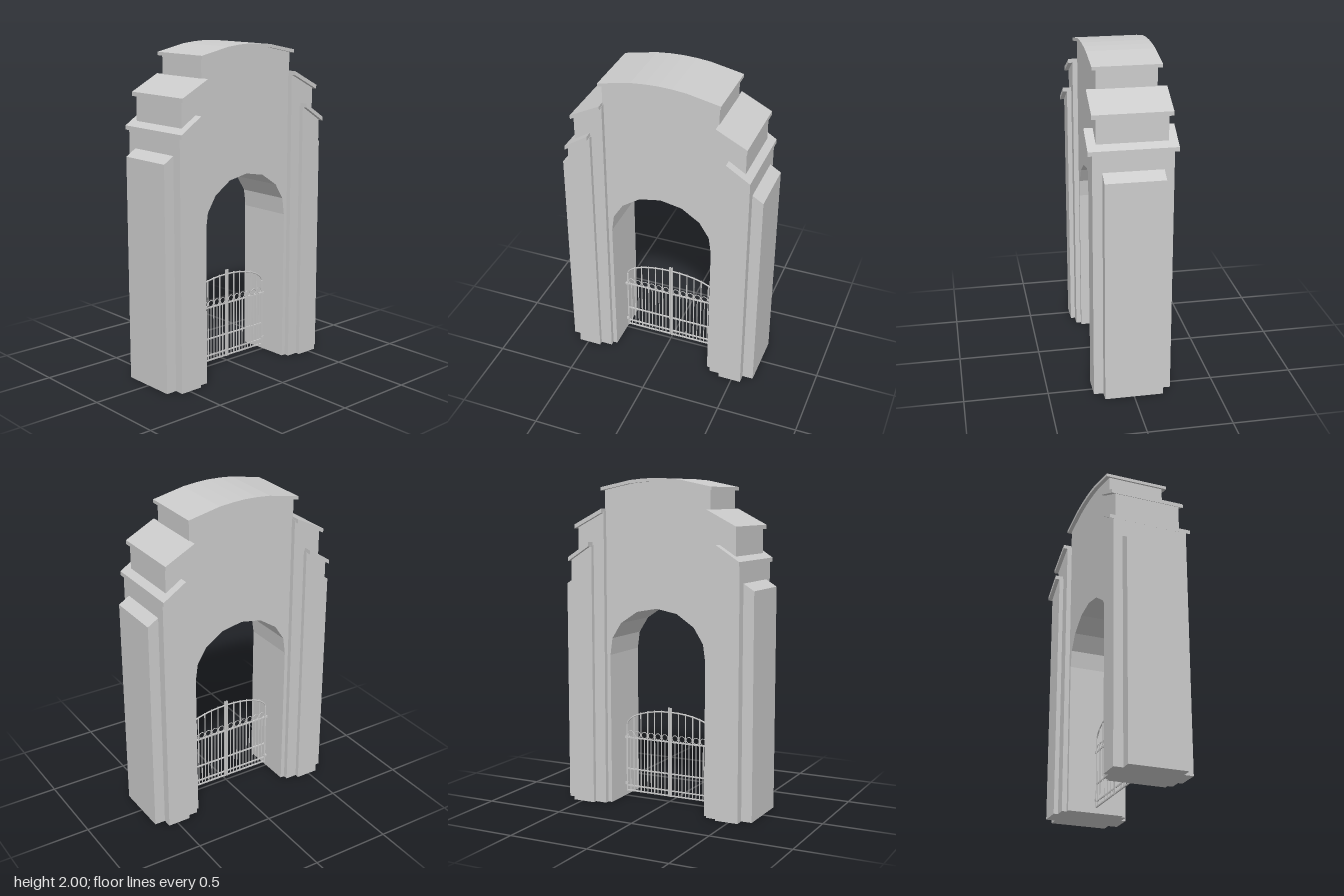
import * as THREE from 'three';

const stone = new THREE.MeshStandardMaterial({ color: 0xcccccc, flatShading: true });
const iron = new THREE.MeshStandardMaterial({ color: 0xcccccc });

// Extrude a [z, y] outline across x, centred, with half width hw
function slab(name, points, hw) {
  const shape = new THREE.Shape(points.map(([z, y]) => new THREE.Vector2(z, y)));
  const geo = new THREE.ExtrudeGeometry(shape, { depth: hw * 2, bevelEnabled: false });
  geo.translate(0, 0, -hw);
  geo.rotateY(-Math.PI / 2);
  const mesh = new THREE.Mesh(geo, stone);
  mesh.name = name;
  return mesh;
}

// Half profile plus its reflection in z; the half ends on z = 0
const mirrored = (half) => [...half, ...half.slice(0, -1).reverse().map(([z, y]) => [-z, y])];

// Stepped pier on the +z side
function createPier() {
  const pier = new THREE.Group();
  const post = (name, z0, z1, yIn, yOut, hw) =>
    pier.add(slab(name, [[z0, 0], [z1, 0], [z1, yOut], [z0, yIn]], hw));
  const coping = (name, z0, z1, yIn, yOut, hw) =>
    pier.add(slab(name, [[z0, yIn - 0.025], [z1, yOut - 0.025], [z1, yOut], [z0, yIn]], hw));
  post('innerPost', 0.343, 0.522, 1.805, 1.708, 0.205);
  coping('innerCoping', 0.347, 0.533, 1.82, 1.725, 0.23);
  post('middlePost', 0.415, 0.558, 1.60, 1.512, 0.232);
  coping('middleCoping', 0.421, 0.565, 1.62, 1.528, 0.257);
  post('outerButtress', 0.5, 0.625, 1.437, 1.36, 0.175);
  return pier;
}

// Gate leaf on the +z side, in the plane x = 0
function createGateLeaf() {
  const leaf = new THREE.Group();
  const bar = (name, z, y0, y1, t) => {
    const m = new THREE.Mesh(new THREE.BoxGeometry(t, y1 - y0, t), iron);
    m.position.set(0, (y0 + y1) / 2, z);
    m.name = name;
    leaf.add(m);
  };
  const rail = (name, y, z0, z1, t) => {
    const m = new THREE.Mesh(new THREE.BoxGeometry(t, t, z1 - z0), iron);
    m.position.set(0, y, (z0 + z1) / 2);
    m.name = name;
    leaf.add(m);
  };
  const topY = (z) => 0.46 + 0.108 * Math.sqrt(Math.max(0, 1 - (z / 0.303) ** 2));

  bar('hingeStile', 0.302, 0.03, 0.465, 0.009);
  bar('meetingStile', 0.007, 0.03, 0.597, 0.009);
  for (const y of [0.036, 0.068, 0.177, 0.38]) rail('rail', y, 0.007, 0.302, 0.008);
  for (const y of [0.08, 0.38]) rail('hinge', y, 0.298, 0.325, 0.014);

  // Tall bars reach the arched top, short bars stop at the upper rail
  const pitch = 0.0485;
  for (let i = 0; i < 6; i++) {
    const z = 0.035 + i * pitch;
    bar('shortBar', z, 0.036, 0.38, 0.005);
    const ring = new THREE.Mesh(new THREE.TorusGeometry(0.0195, 0.0025, 6, 14), iron);
    ring.rotation.y = Math.PI / 2;
    ring.position.set(0, 0.404, z);
    ring.name = 'ring';
    leaf.add(ring);
    if (i < 5) bar('tallBar', z + pitch / 2, 0.036, topY(z + pitch / 2) + 0.008, 0.006);
  }

  // Arched top rail
  const pts = [];
  for (let i = 0; i <= 10; i++) {
    const z = 0.007 + 0.295 * Math.sin((i / 10) * Math.PI / 2);
    pts.push(new THREE.Vector3(0, topY(z), z));
  }
  const arch = new THREE.Mesh(
    new THREE.TubeGeometry(new THREE.CatmullRomCurve3(pts), 24, 0.005, 6), iron);
  arch.name = 'archedRail';
  leaf.add(arch);
  return leaf;
}

export function createModel() {
  const model = new THREE.Group();
  model.name = 'gateway';

  // Arch wall: outer outline joined to the faceted opening
  const wallTop = mirrored([[0.35, 0], [0.35, 1.935], [0.165, 1.972], [0, 1.982]]);
  const opening = mirrored([[0.316, 0], [0.32, 0.93], [0.305, 1.035], [0.245, 1.13],
    [0.133, 1.205], [0, 1.23]]).reverse();
  model.add(slab('archWall', [...wallTop, ...opening], 0.175));

  // Curved coping over the arch
  const crown = [[0.365, 1.948], [0.165, 1.989], [0.08, 1.997], [0, 2]];
  const top = mirrored(crown);
  const under = top.map(([z, y]) => [z, y - 0.02]).reverse();
  model.add(slab('archCoping', [...top, ...under], 0.2));

  // Piers and gate leaves on both sides
  for (const [side, turn] of [['front', 0], ['back', Math.PI]]) {
    const pier = createPier();
    pier.name = side + 'Pier';
    pier.rotation.y = turn;
    const leaf = createGateLeaf();
    leaf.name = side + 'GateLeaf';
    leaf.rotation.y = turn;
    model.add(pier, leaf);
  }
  return model;
}
